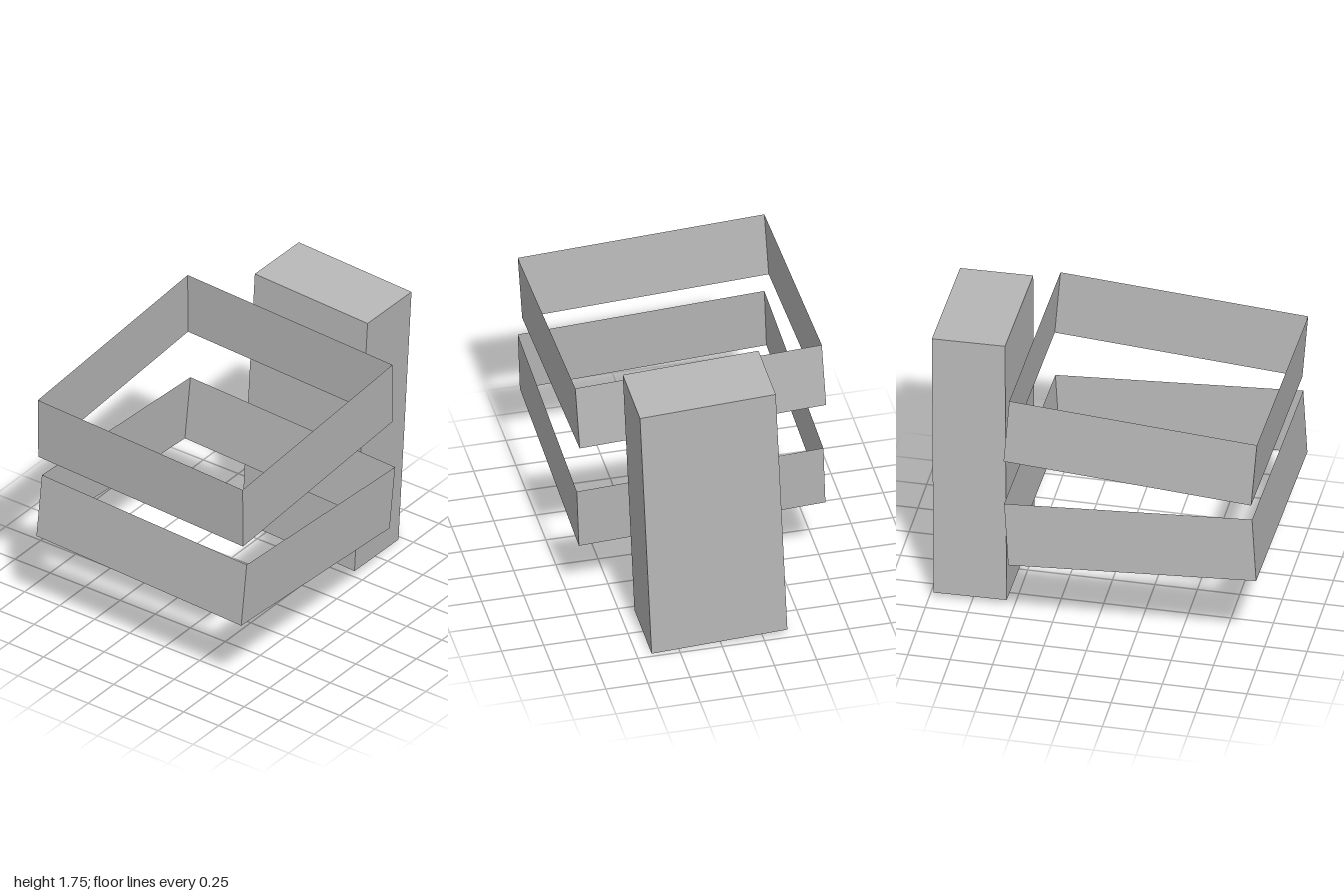
import * as THREE from 'three';

// Places a unit block so its back-left-bottom corner and three edges match.
function place(geometry, corner, right, up, front) {
  const [c, r, u, f] = [corner, right, up, front].map((v) => new THREE.Vector3(...v));
  const centre = c.clone().addScaledVector(r, 0.5).addScaledVector(u, 0.5).addScaledVector(f, 0.5);
  const flat = geometry.toNonIndexed();
  flat.applyMatrix4(new THREE.Matrix4().makeBasis(r, u, f).setPosition(centre));
  flat.computeVertexNormals();
  return flat;
}

// Square tube of side 1, open at top and bottom
function squareBand() {
  return new THREE.CylinderGeometry(Math.SQRT1_2, Math.SQRT1_2, 1, 4, 1, true).rotateY(Math.PI / 4);
}

export function createModel() {
  const group = new THREE.Group();
  const grey = new THREE.MeshStandardMaterial({ color: 0xb8b8b8 });
  grey.name = 'grey';
  grey.side = THREE.DoubleSide;

  const add = (name, geometry) => {
    const mesh = new THREE.Mesh(geometry, grey);
    mesh.name = name;
    group.add(mesh);
  };

  // Two thin open bands, tilted in opposite directions
  add('upperBand', place(squareBand(),
    [-0.97, 1.135, -0.742], [1.46, 0.105, 0.005], [-0.03, 0.41, 0.019], [0, -0.065, 1.462]));
  add('lowerBand', place(squareBand(),
    [-0.998, 0.61, -0.735], [1.46, -0.086, -0.004], [0.028, 0.41, 0.019], [0, -0.065, 1.462]));

  // Leaning solid post on the model's left
  add('post', place(new THREE.BoxGeometry(1, 1, 1),
    [0.543, 0.043, -0.392], [0.431, -0.006, 0], [0.025, 1.71, 0.075], [0, -0.037, 0.805]));

  return group;
}
